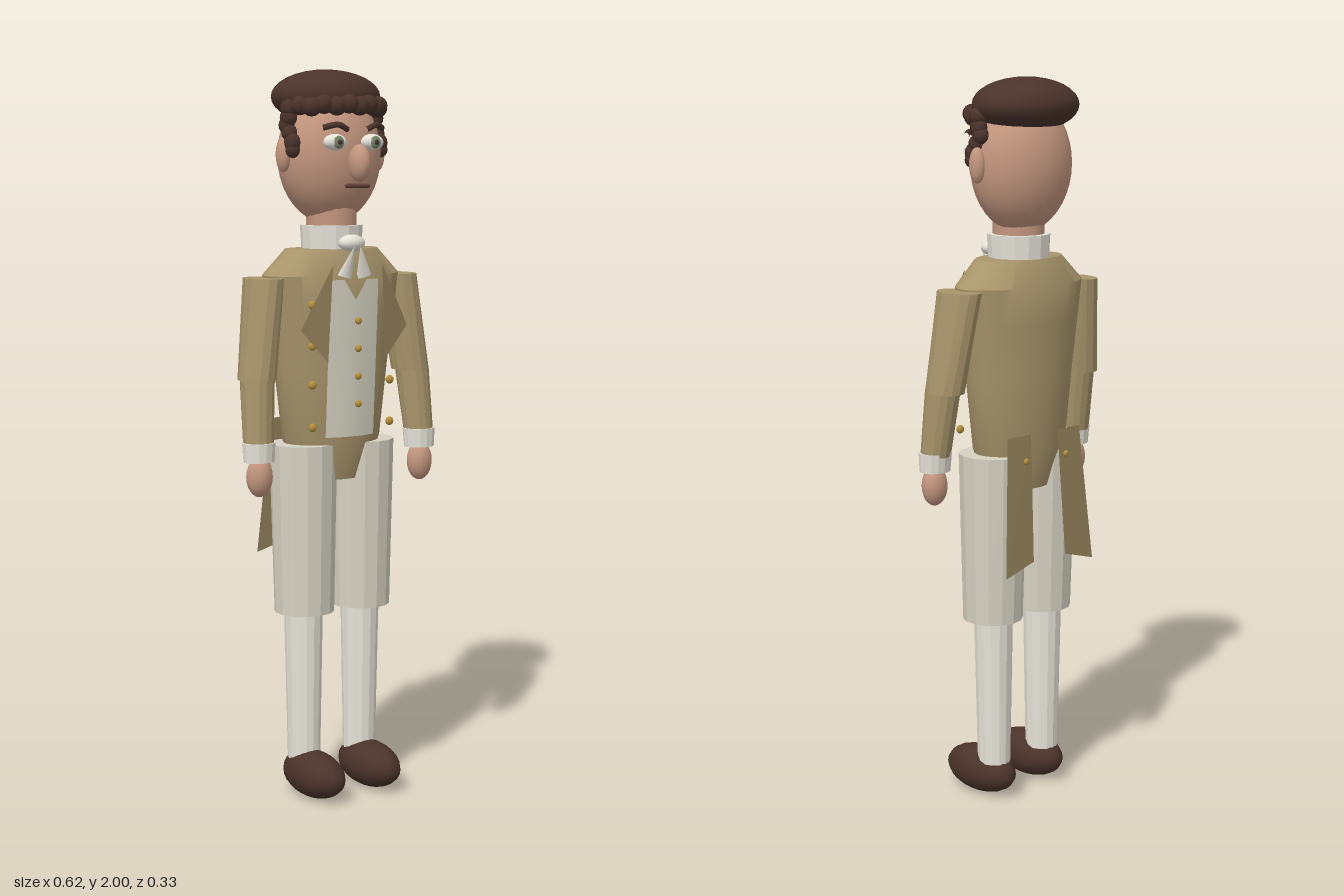
import * as THREE from 'three';
import { toCreasedNormals } from 'three/addons/utils/BufferGeometryUtils.js';

const mat = (name, color) => {
  const m = new THREE.MeshStandardMaterial({ color });
  m.name = name;
  return m;
};

// Closed elliptical loft; sections run bottom to top as [y, cx, cz, rx, rz]
function loft(sections, n, crease) {
  const pos = [], idx = [], rows = sections.length;
  for (const [y, cx, cz, rx, rz] of sections) {
    for (let j = 0; j < n; j++) {
      const t = (j / n) * Math.PI * 2;
      pos.push(cx + rx * Math.sin(t), y, cz + rz * Math.cos(t));
    }
  }
  for (const s of [sections[0], sections[rows - 1]]) pos.push(s[1], s[0], s[2]);
  for (let j = 0; j < n; j++) {
    const k = (j + 1) % n, top = (rows - 1) * n;
    for (let i = 0; i < rows - 1; i++) {
      const a = i * n + j, b = i * n + k;
      idx.push(a, b, b + n, a, b + n, a + n);
    }
    idx.push(rows * n, k, j, rows * n + 1, top + j, top + k);
  }
  const g = new THREE.BufferGeometry();
  g.setAttribute('position', new THREE.Float32BufferAttribute(pos, 3));
  g.setIndex(idx);
  return toCreasedNormals(g, crease);
}

// Flat polygon as a fan around its first corner
function plate(points) {
  const pos = [];
  for (let i = 1; i < points.length - 1; i++) pos.push(...points[0], ...points[i], ...points[i + 1]);
  const g = new THREE.BufferGeometry();
  g.setAttribute('position', new THREE.Float32BufferAttribute(pos, 3));
  g.computeVertexNormals();
  return g;
}

// Torso sections, also used to fit the waistcoat
const TORSO = [
  [0.89, 0, -0.012, 0.1, 0.075],
  [1.0, 0, -0.012, 0.147, 0.1],
  [1.2, 0, -0.012, 0.172, 0.108],
  [1.35, 0, -0.012, 0.195, 0.114],
  [1.45, 0, -0.012, 0.21, 0.117],
  [1.52, 0, -0.01, 0.14, 0.085],
];
function torsoFront(x, y) {
  let i = 0;
  while (i < TORSO.length - 2 && y > TORSO[i + 1][0]) i++;
  const a = TORSO[i], b = TORSO[i + 1], f = (y - a[0]) / (b[0] - a[0]);
  const rx = a[3] + (b[3] - a[3]) * f, rz = a[4] + (b[4] - a[4]) * f;
  return -0.012 + rz * Math.sqrt(Math.max(0, 1 - (x / rx) ** 2));
}

export function createModel() {
  const model = new THREE.Group();
  const skin = mat('skin', 0xc4977f), hair = mat('darkBrown', 0x4a332b);
  const coat = mat('coatTan', 0xa8956b), trim = mat('coatTrim', 0x94815a);
  const cream = mat('cream', 0xd6d2c2), linen = mat('linen', 0xe6e3d8);
  const gold = mat('gold', 0xb8923c), iris = mat('irisGreen', 0x78866a), lip = mat('lip', 0x63403a);
  trim.side = THREE.DoubleSide;

  const add = (name, geo, m) => {
    const mesh = new THREE.Mesh(geo, m);
    mesh.name = name;
    model.add(mesh);
    return mesh;
  };
  const ball = (name, m, p, r, w = 20, h = 14) => {
    const mesh = add(name, new THREE.SphereGeometry(1, w, h), m);
    mesh.position.set(...p);
    mesh.scale.set(...r);
    return mesh;
  };
  const FLAT = 0.1;

  // Head
  ball('head', skin, [0, 1.77, -0.02], [0.148, 0.185, 0.123], 28, 20);
  ball('nose', skin, [0, 1.75, 0.127], [0.028, 0.05, 0.037]);
  ball('hairCap', hair, [0, 1.927, -0.037], [0.156, 0.073, 0.13], 24, 16);
  const mouth = add('mouth', new THREE.CapsuleGeometry(0.006, 0.068, 4, 8), lip);
  mouth.rotation.z = Math.PI / 2;
  mouth.position.set(0, 1.69, 0.117);
  // Row of curls along the hairline
  for (let i = 0; i < 12; i++) {
    const t = (i / 11 - 0.5) * 2.7;
    ball('hairCurl', hair, [0.14 * Math.sin(t), 1.893 + 0.008 * Math.cos(t) + 0.005 * (i % 2),
      -0.032 + 0.135 * Math.cos(t)], [0.027, 0.026, 0.027], 10, 8);
  }

  // Neck, collar and cravat
  add('neck', loft([[1.5, 0, -0.01, 0.07, 0.07], [1.64, 0, -0.01, 0.07, 0.07]], 16, 0.6), skin);
  add('collar', loft([[1.5, 0, -0.01, 0.08, 0.083], [1.583, 0, -0.01, 0.085, 0.088]], 14, FLAT), linen);
  ball('cravatKnot', linen, [0, 1.537, 0.09], [0.04, 0.023, 0.028], 14, 10);

  // Coat body and waistcoat
  add('coatBody', loft(TORSO, 32, 0.6), coat);
  const xs = [-0.078, -0.036, 0, 0.036, 0.078], tops = [1.44, 1.44, 1.385, 1.44, 1.44];
  const rows = 8, pos = [], idx = [];
  for (let i = 0; i <= rows; i++) {
    xs.forEach((x, j) => {
      const y = 1.012 + ((tops[j] - 1.012) * i) / rows;
      pos.push(x, y, torsoFront(x, y) + 0.007);
      if (i < rows && j < 4) {
        const a = i * 5 + j;
        idx.push(a, a + 1, a + 6, a, a + 6, a + 5);
      }
    });
  }
  const vest = new THREE.BufferGeometry();
  vest.setAttribute('position', new THREE.Float32BufferAttribute(pos, 3));
  vest.setIndex(idx);
  vest.computeVertexNormals();
  add('waistcoat', vest, cream);
  for (const y of [1.33, 1.255, 1.18, 1.105]) ball('waistcoatButton', gold, [0, y, 0.123], [0.01, 0.01, 0.008], 10, 8);

  for (const s of [1, -1]) {
    // Face details
    ball('ear', skin, [s * 0.152, 1.773, -0.012], [0.02, 0.048, 0.024], 14, 10);
    ball('eye', linen, [s * 0.059, 1.805, 0.098], [0.035, 0.022, 0.022], 16, 12);
    ball('iris', iris, [s * 0.059, 1.805, 0.116], [0.016, 0.017, 0.007], 14, 10);
    ball('pupil', hair, [s * 0.059, 1.805, 0.122], [0.007, 0.007, 0.004], 10, 8);
    const brow = new THREE.CatmullRomCurve3([[0.03, 1.838, 0.115], [0.06, 1.851, 0.116], [0.095, 1.843, 0.094]]
      .map(([x, y, z]) => new THREE.Vector3(s * x, y, z)));
    add('eyebrow', new THREE.TubeGeometry(brow, 8, 0.008, 8), hair);
    // Sideburn curls
    for (const [y, z, r] of [[1.87, -0.005, 0.026], [1.85, -0.012, 0.025], [1.828, 0.002, 0.024], [1.803, 0.014, 0.028], [1.785, 0.018, 0.022]]) {
      ball('sideburnCurl', hair, [s * 0.14, y, z], [0.022, r, r], 10, 8);
    }

    // Cravat ends
    const end = add('cravatEnd', new THREE.ConeGeometry(0.024, 0.09, 8), linen);
    end.scale.z = 0.4;
    end.rotation.set(0.2, 0, s * 0.25);
    end.position.set(s * 0.02, 1.49, 0.111);

    // Lapels, tails and coat buttons
    add('lapel', plate([[s * 0.08, 1.48, 0.12], [s * 0.172, 1.31, 0.105], [s * 0.092, 1.22, 0.115]]), trim);
    add('coatTail', plate([[s * 0.05, 1.05, -0.112], [s * 0.06, 0.7, -0.134], [s * 0.165, 0.67, -0.136], [s * 0.135, 1.05, -0.11]]), trim);
    for (const y of [1.375, 1.265, 1.16, 1.045]) ball('coatButton', gold, [s * 0.126, y, 0.09], [0.012, 0.012, 0.009], 10, 8);
    ball('backButton', gold, [s * 0.075, 0.98, -0.12], [0.009, 0.009, 0.006], 10, 8);

    // Arms
    add('upperSleeve', loft([[1.175, s * 0.252, 0.01, 0.05, 0.058], [1.445, s * 0.217, -0.011, 0.048, 0.073]], 14, FLAT), coat);
    add('lowerSleeve', loft([[1.0, s * 0.264, 0.036, 0.042, 0.04], [1.185, s * 0.254, 0.015, 0.046, 0.051]], 14, FLAT), coat);
    add('cuff', loft([[0.958, s * 0.264, 0.039, 0.044, 0.038], [1.01, s * 0.264, 0.037, 0.047, 0.042]], 14, FLAT), linen);
    ball('hand', skin, [s * 0.264, 0.917, 0.041], [0.037, 0.055, 0.033], 16, 12);

    // Legs and shoes
    add('breeches', loft([[0.52, s * 0.093, -0.005, 0.083, 0.083], [0.99, s * 0.094, -0.008, 0.093, 0.096]], 14, FLAT), cream);
    add('stocking', loft([[0.1, s * 0.093, -0.008, 0.045, 0.047], [0.53, s * 0.094, -0.008, 0.053, 0.056]], 14, FLAT), linen);
    ball('shoe', hair, [s * 0.093, 0.064, 0.044], [0.067, 0.064, 0.123], 18, 14);
  }
  return model;
}
